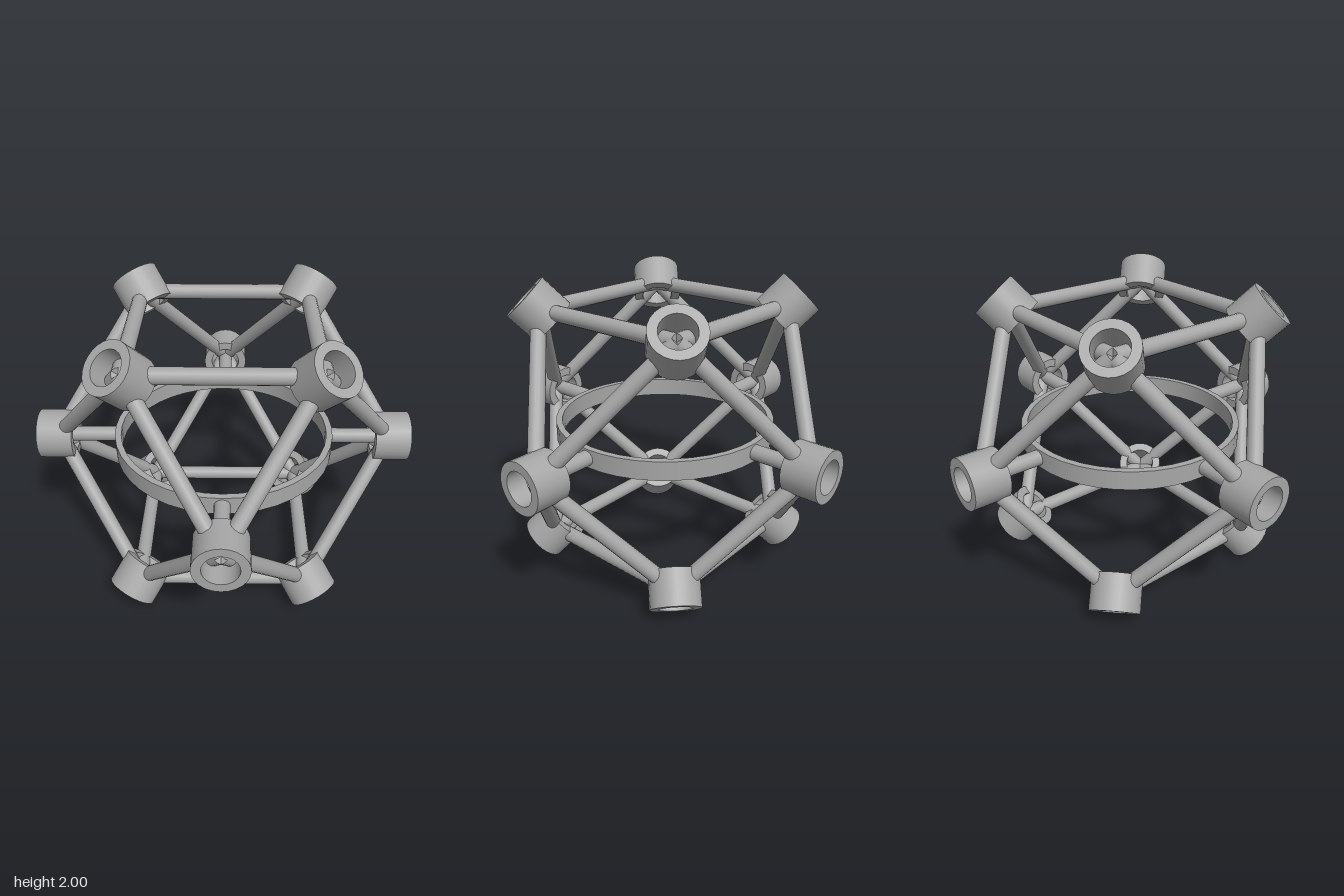
import * as THREE from 'three';

const A = 0.8;              // node offset along each of two axes
const ROD_RADIUS = 0.051;
const UP = new THREE.Vector3(0, 1, 0);

// Hollow cylinder centred on the origin, axis along y
function pipe(outer, inner, height, segments) {
  const shape = new THREE.Shape();
  shape.absarc(0, 0, outer, 0, Math.PI * 2, false);
  const hole = new THREE.Path();
  hole.absarc(0, 0, inner, 0, Math.PI * 2, true);
  shape.holes.push(hole);
  const flat = new THREE.ShapeGeometry(shape, segments / 2);
  flat.dispose();
  const h = height / 2;
  // Doubled corners keep the rims sharp and the walls smooth
  const wall = (r0, y0, r1, y1) => [new THREE.Vector2(r0, y0), new THREE.Vector2(r1, y1)];
  return [
    wall(outer, -h, outer, h),
    wall(outer, h, inner, h),
    wall(inner, h, inner, -h),
    wall(inner, -h, outer, -h),
  ].map((points) => new THREE.LatheGeometry(points, segments));
}

export function createModel() {
  const model = new THREE.Group();
  const metal = new THREE.MeshStandardMaterial({ color: 0xa6a6a6 });
  metal.name = 'plain grey';

  const frame = new THREE.Group();
  frame.name = 'frame';
  frame.position.y = 1;
  model.add(frame);

  function addPipe(name, geometries, position, axis) {
    const group = new THREE.Group();
    group.name = name;
    geometries.forEach((geometry) => {
      const mesh = new THREE.Mesh(geometry, metal);
      mesh.name = name + 'Face';
      group.add(mesh);
    });
    group.position.copy(position);
    group.quaternion.setFromUnitVectors(UP, axis);
    frame.add(group);
  }

  function addRod(name, from, to) {
    const span = to.clone().sub(from);
    const mesh = new THREE.Mesh(
      new THREE.CylinderGeometry(ROD_RADIUS, ROD_RADIUS, span.length(), 16), metal);
    mesh.name = name;
    mesh.position.copy(from).add(to).multiplyScalar(0.5);
    mesh.quaternion.setFromUnitVectors(UP, span.normalize());
    frame.add(mesh);
  }

  // Twelve nodes of a cuboctahedron
  const nodes = [];
  for (const s of [-A, A]) {
    for (const t of [-A, A]) {
      nodes.push(new THREE.Vector3(s, t, 0), new THREE.Vector3(0, s, t), new THREE.Vector3(s, 0, t));
    }
  }

  // Open sockets pointing outwards
  const socket = pipe(0.166, 0.108, 0.234, 24);
  nodes.forEach((node) => addPipe('socket', socket, node, node.clone().normalize()));

  // Struts between neighbouring nodes
  nodes.forEach((a, i) => {
    nodes.slice(i + 1).forEach((b) => {
      if (a.distanceTo(b) < A * 1.5) addRod('strut', a, b);
    });
  });

  // Central ring held by four spokes
  addPipe('ring', pipe(0.737, 0.695, 0.124, 40), new THREE.Vector3(), UP);
  nodes.filter((n) => n.y === 0).forEach((n) => {
    addRod('spoke', n, n.clone().setLength(0.715));
  });

  return model;
}
